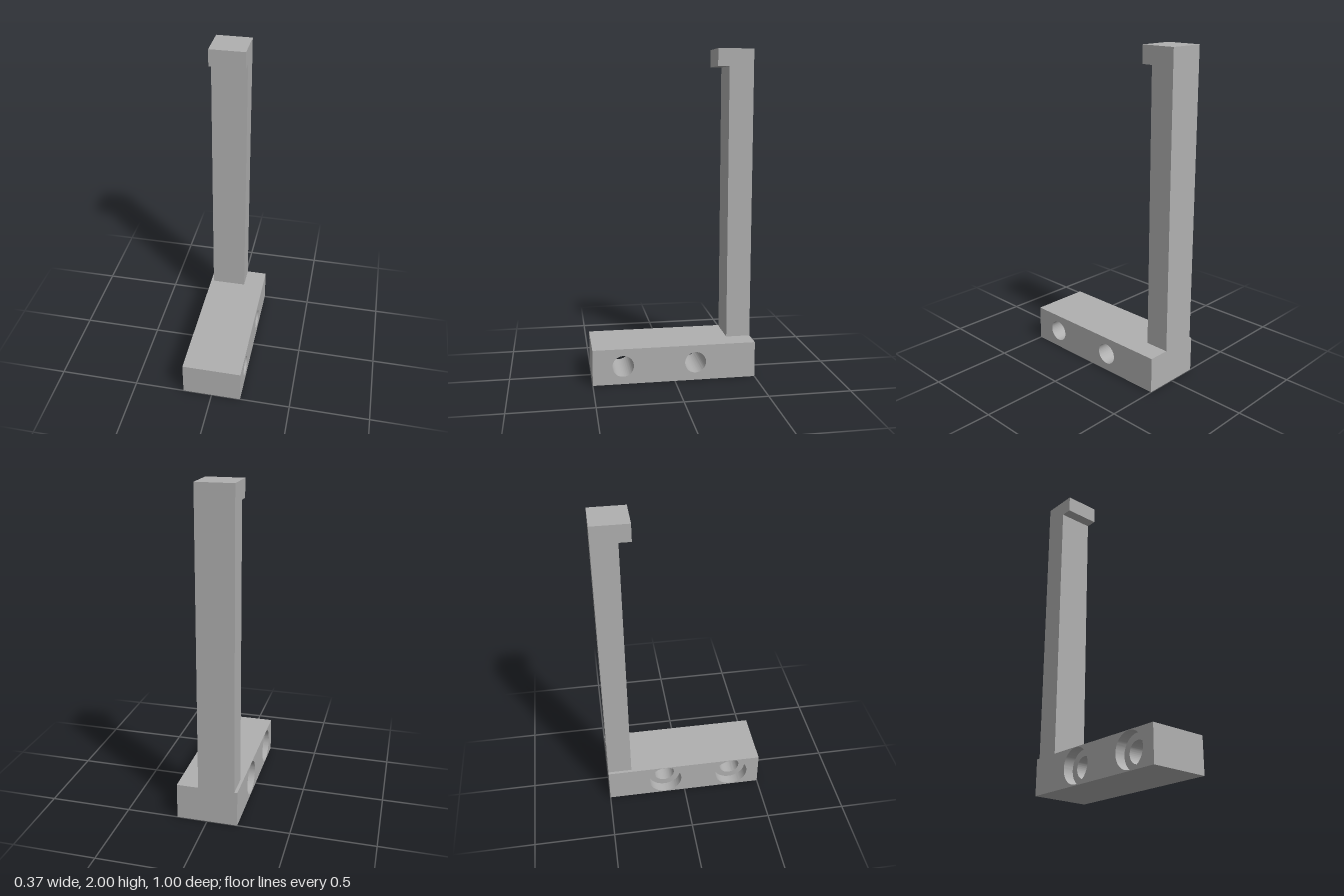
import * as THREE from 'three';
import { toCreasedNormals } from 'three/addons/utils/BufferGeometryUtils.js';

const BASE_H = 0.22, HALF_W = 0.185, HALF_L = 0.5;
const HOLE_Y = 0.112, HOLES_Z = [0.316, -0.128];
const HOLE_R = 0.065, BORE_R = 0.106, BORE_DEPTH = 0.065;

// Extrudes a side profile (given as [z, y]) from x0 to x1
function extrudeSide(points, x0, x1, holeRadius = 0) {
  const shape = new THREE.Shape(points.map(([z, y]) => new THREE.Vector2(-z, y)));
  if (holeRadius) {
    for (const z of HOLES_Z) {
      shape.holes.push(new THREE.Path().absarc(-z, HOLE_Y, holeRadius, 0, Math.PI * 2, true));
    }
  }
  const geo = new THREE.ExtrudeGeometry(shape, { depth: x1 - x0, bevelEnabled: false, curveSegments: 40 });
  geo.rotateY(Math.PI / 2).translate(x0, 0, 0);
  return toCreasedNormals(geo, 0.6);
}

export function createModel() {
  const group = new THREE.Group();
  const grey = new THREE.MeshStandardMaterial({ color: 0xb0b0b0 });
  grey.name = 'grey';
  const add = (name, geo) => {
    const mesh = new THREE.Mesh(geo, grey);
    mesh.name = name;
    group.add(mesh);
  };

  // Base block: a counterbored layer on the -x side, through holes in the rest
  const base = [[HALF_L, 0], [-HALF_L, 0], [-HALF_L, BASE_H], [HALF_L, BASE_H]];
  const step = -HALF_W + BORE_DEPTH;
  add('baseCounterbore', extrudeSide(base, -HALF_W, step, BORE_R));
  add('baseBody', extrudeSide(base, step, HALF_W, HOLE_R));

  // Upright post with a small hook at the top, facing forward
  const post = [
    [-0.35, BASE_H], [-HALF_L, BASE_H], [-HALF_L, 2],
    [-0.28, 2], [-0.28, 1.895], [-0.35, 1.895],
  ];
  add('hookedPost', extrudeSide(post, -0.167, 0.053));

  return group;
}
